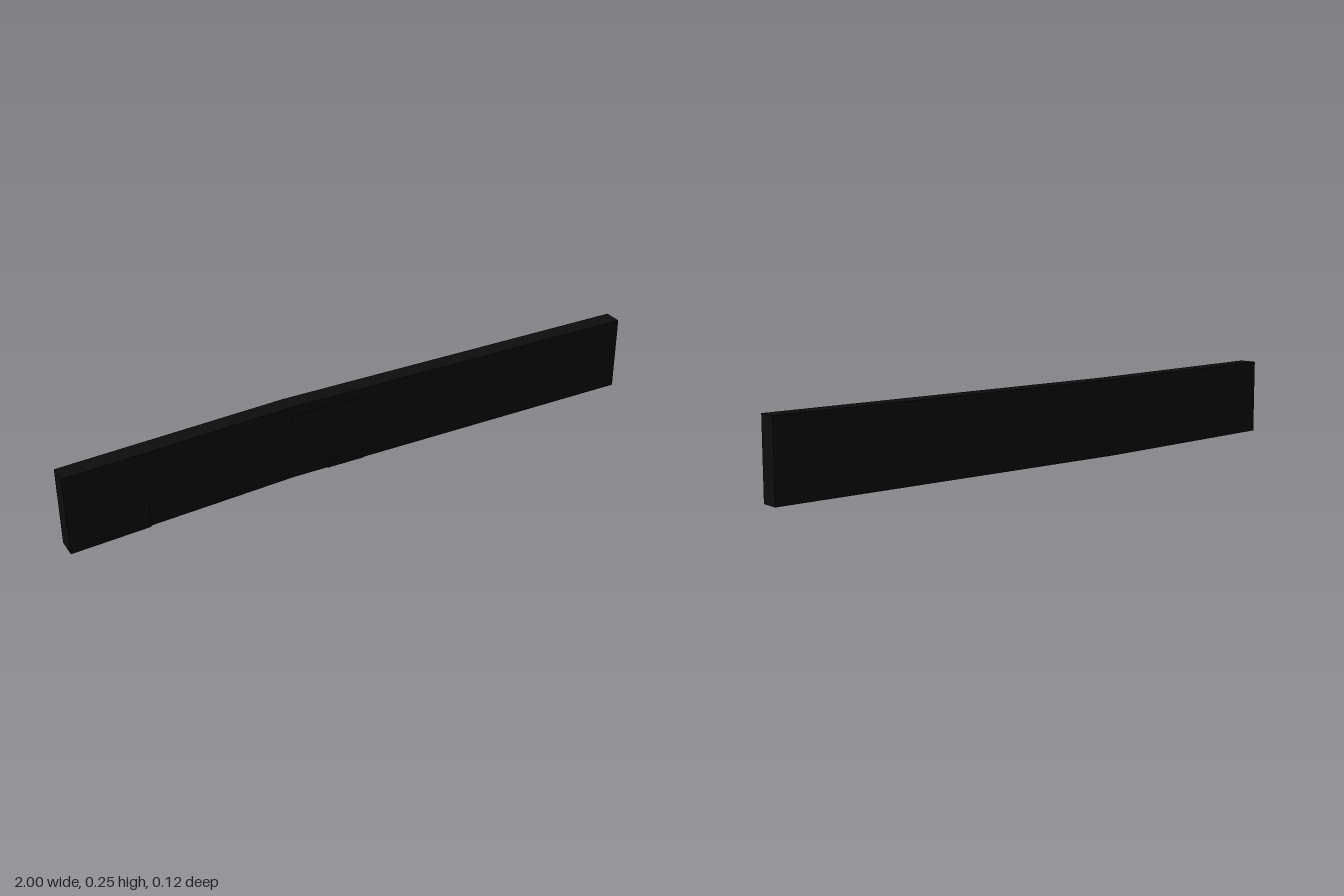
import * as THREE from 'three';

// Extrudes a plan outline of [x, z] points upward from y0 to y1
function slab(name, points, y0, y1, material) {
  const shape = new THREE.Shape(points.map(([x, z]) => new THREE.Vector2(x, -z)));
  const geometry = new THREE.ExtrudeGeometry(shape, { depth: y1 - y0, bevelEnabled: false });
  geometry.rotateX(-Math.PI / 2);
  geometry.translate(0, y0, 0);
  const mesh = new THREE.Mesh(geometry, material);
  mesh.name = name;
  return mesh;
}

export function createModel() {
  const group = new THREE.Group();
  group.name = 'bentPanel';
  const black = new THREE.MeshStandardMaterial({ color: 0x0d0d0d });
  black.name = 'black';

  const bend = -0.25, end = -1, height = 0.25;
  // Front face depth: straight on the left, swinging forward past the bend
  const frontZ = (x) => Math.max(0, (bend - x) * 0.0735);

  // Main panel, straight run and angled wing
  group.add(slab('panel', [
    [1, 0], [1, -0.06], [bend, -0.06], [end, -0.007], [end, frontZ(end)], [bend, 0],
  ], 0, height, black));

  // Raised plates on the front: x range, y range, thickness
  const plates = [
    ['wingLowerPlate', end, -0.745, 0, 0.088, 0.006],
    ['middlePlate', bend, 0, 0.13, 0.22, 0.002],
    ['middleLowerPlate', -0.13, 0, 0, 0.03, 0.003],
  ];
  for (const [name, x0, x1, y0, y1, t] of plates) {
    group.add(slab(name, [
      [x0, frontZ(x0) - 0.002], [x0, frontZ(x0) + t],
      [x1, frontZ(x1) + t], [x1, frontZ(x1) - 0.002],
    ], y0, y1, black));
  }
  return group;
}
